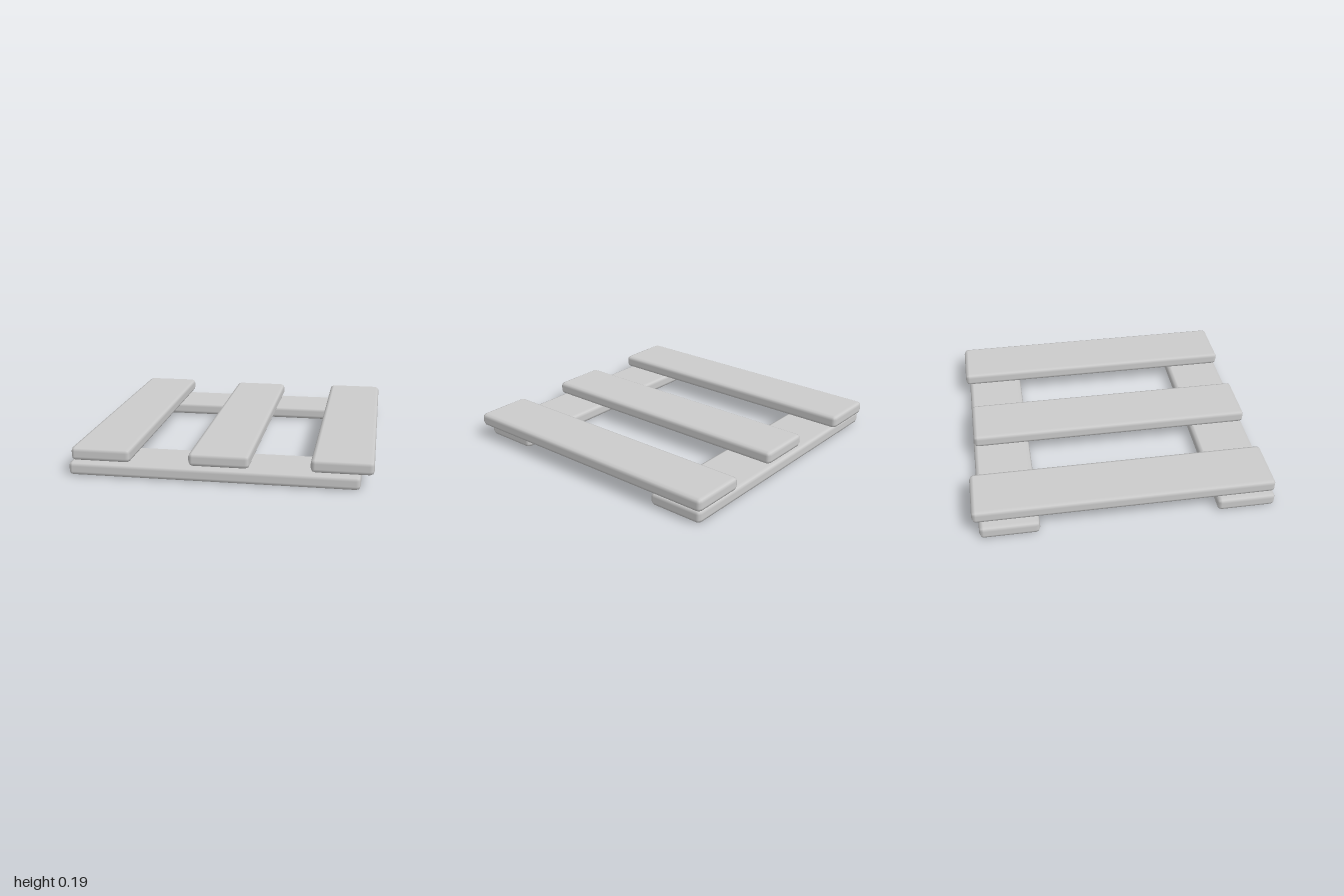
import * as THREE from 'three';
import { RoundedBoxGeometry } from 'three/addons/geometries/RoundedBoxGeometry.js';

const THICKNESS = 0.09;
const BEVEL = 0.028;

export function createModel() {
  const model = new THREE.Group();
  model.name = 'woodenPallet';
  const material = new THREE.MeshStandardMaterial({ color: 0xcccccc });

  // A bevelled plank filling the given x and z ranges, resting at height y
  function addPlank(name, x0, x1, z0, z1, y) {
    const geometry = new RoundedBoxGeometry(x1 - x0, THICKNESS, z1 - z0, 1, BEVEL);
    const plank = new THREE.Mesh(geometry, material);
    plank.name = name;
    plank.position.set((x0 + x1) / 2, y + THICKNESS / 2, (z0 + z1) / 2);
    model.add(plank);
  }

  // Two bearers on the ground, running side to side
  addPlank('frontBearer', -0.965, 0.9, 0.605, 0.995, 0);
  addPlank('backBearer', -0.985, 0.95, -0.96, -0.57, 0);

  // Three deck boards above them, running front to back with uneven back ends
  const boards = [
    ['rightDeckBoard', -0.945, -1],
    ['middleDeckBoard', -0.18, -0.955],
    ['leftDeckBoard', 0.59, -0.985],
  ];
  for (const [name, x, back] of boards) addPlank(name, x, x + 0.39, back, 0.995, 0.1);

  return model;
}
